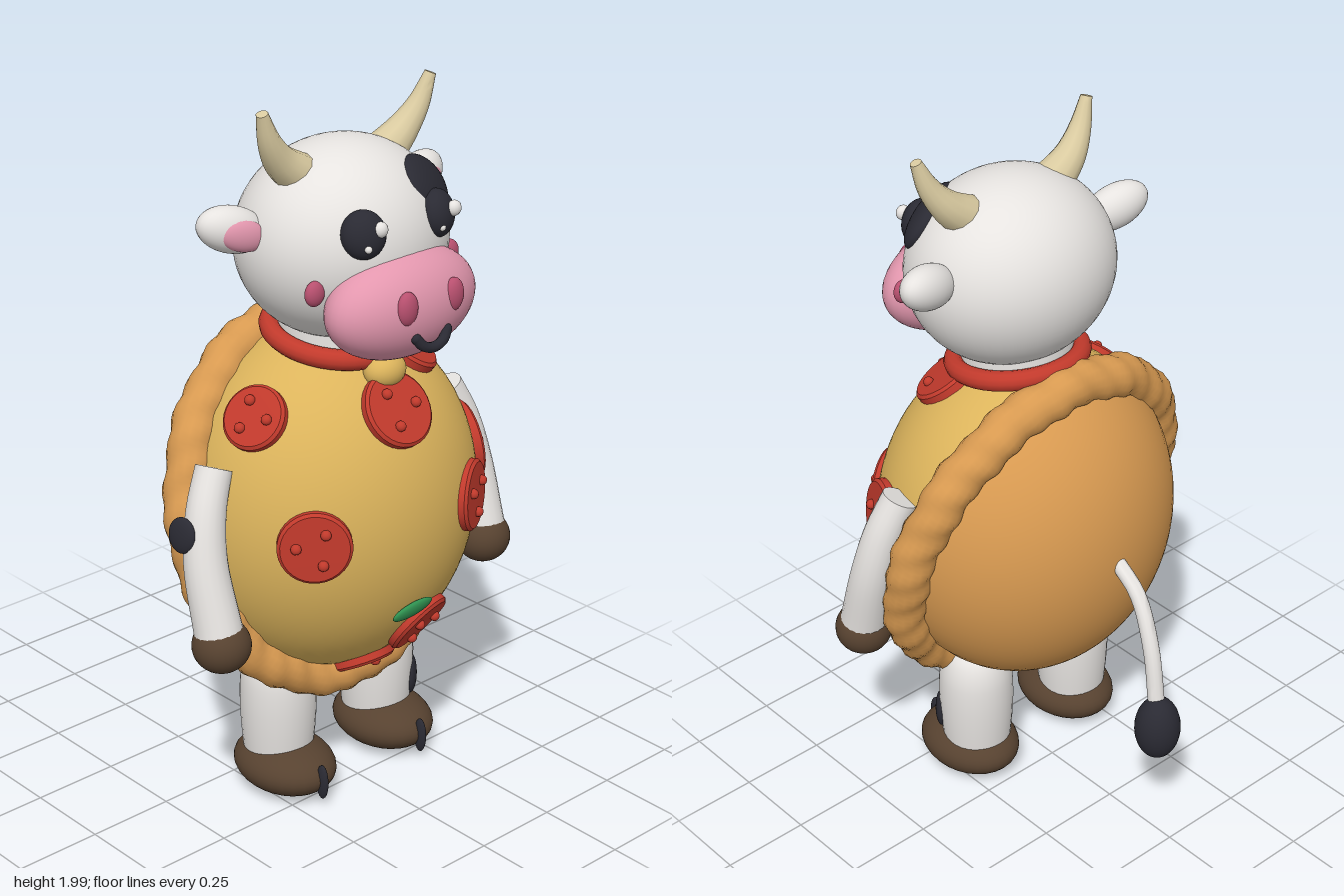
import * as THREE from 'three';
import { mergeVertices, toCreasedNormals } from 'three/addons/utils/BufferGeometryUtils.js';

const V = (x, y, z) => new THREE.Vector3(x, y, z);
const mat = (name, color) => {
  const m = new THREE.MeshStandardMaterial({ color });
  m.name = name;
  return m;
};

export function createModel() {
  const root = new THREE.Group();
  root.name = 'pizzaCow';
  const white = mat('white', 0xe6e3e0), black = mat('black', 0x2a2a33), pink = mat('pink', 0xe397ae),
    rose = mat('rose', 0xb8506f), cheese = mat('cheese', 0xdcb45c), crust = mat('crust', 0xd89a51),
    red = mat('red', 0xc23a2c), green = mat('green', 0x2f9150), brown = mat('brown', 0x574230),
    horn = mat('horn', 0xd9caa0);

  const add = (name, geo, material, parent = root) => {
    const m = new THREE.Mesh(geo, material);
    m.name = name;
    parent.add(m);
    return m;
  };
  // ellipsoid with centre, radii and rotation
  const ball = (name, material, c, r, rot = [0, 0, 0], parent = root, seg = 28) => {
    const m = add(name, new THREE.SphereGeometry(1, seg, Math.round(seg * 0.7)), material, parent);
    m.position.set(...c);
    m.scale.set(...r);
    m.rotation.set(...rot);
    return m;
  };
  // closed tube whose radius runs from r0 to r1
  const taper = (name, material, pts, r0, r1, sides = 20) => {
    const n = 18, curve = new THREE.CatmullRomCurve3(pts.map(p => V(...p)));
    const geo = new THREE.TubeGeometry(curve, n, 1, sides, false);
    const pos = geo.attributes.position, v = V(0, 0, 0);
    for (let i = 0; i <= n; i++) {
      const t = THREE.MathUtils.clamp((i - 1) / (n - 2), 0, 1);
      const from = curve.getPointAt(i / n), to = curve.getPointAt(t);
      const r = i === 0 || i === n ? 0 : r0 + (r1 - r0) * t;
      for (let j = 0; j <= sides; j++) {
        const k = i * (sides + 1) + j;
        v.fromBufferAttribute(pos, k).sub(from).multiplyScalar(r).add(to);
        pos.setXYZ(k, v.x, v.y, v.z);
      }
    }
    return add(name, toCreasedNormals(geo, 0.9), material);
  };

  // body: cheese front and crust back, split along a tilted plane
  const C = V(0, 0.85, 0.11), R = V(0.44, 0.5, 0.39), cut = Math.PI * 0.53;
  const half = (name, material, start, length) => {
    const g = new THREE.SphereGeometry(1, 56, 28, 0, Math.PI * 2, start, length);
    g.rotateX(1.22);
    g.scale(R.x, R.y, R.z);
    add(name, g, material).position.copy(C);
  };
  half('cheeseFront', cheese, 0, cut);
  half('crustBack', crust, cut, Math.PI - cut);

  // lumpy crust rim
  let rim = new THREE.TorusGeometry(0.48, 0.062, 16, 200);
  const rp = rim.attributes.position;
  for (let i = 0; i < rp.count; i++) {
    const x = rp.getX(i), y = rp.getY(i), z = rp.getZ(i);
    const u = Math.atan2(y, x), rho = Math.hypot(x, y) - 0.48, w = Math.atan2(z, rho);
    const k = 1 + 0.06 * Math.sin(34 * u + 2 * w) + 0.05 * Math.sin(13 * u - w);
    rp.setXYZ(i, Math.cos(u) * (0.455 + rho * k), Math.sin(u) * (0.502 + rho * k), z * k);
  }
  rim.deleteAttribute('uv');
  rim.deleteAttribute('normal');
  rim = mergeVertices(rim, 1e-5);
  rim.computeVertexNormals();
  rim.rotateX(-0.277);
  add('crustRim', rim, crust).position.set(0, 0.83, 0.08);

  // group on the body surface, its y axis pointing outwards
  const onBody = (name, x, y) => {
    const dy = y - C.y;
    const dz = R.z * Math.sqrt(Math.max(0, 1 - (x / R.x) ** 2 - (dy / R.y) ** 2));
    const g = new THREE.Group();
    g.name = name;
    g.position.set(x, y, C.z + dz);
    const normal = V(x / R.x ** 2, dy / R.y ** 2, dz / R.z ** 2).normalize();
    g.quaternion.setFromUnitVectors(V(0, 1, 0), normal);
    root.add(g);
    return g;
  };

  // pepperoni slices with small bumps
  [[-0.013, 1.185, 0.105], [-0.32, 1.18, 0.09], [0.16, 1.28, 0.1], [-0.3, 0.875, 0.1],
    [0.235, 0.875, 0.1], [0.41, 0.92, 0.118], [0.08, 0.525, 0.1], [0, 0.385, 0.1]].forEach(([x, y, r], i) => {
    const g = onBody('pepperoni', x, y);
    const profile = [[r, -0.025], [r, 0.006], [r - 0.008, 0.014], [0, 0.016]].map(p => new THREE.Vector2(...p));
    add('slice', toCreasedNormals(new THREE.LatheGeometry(profile, 32), 0.6), red, g);
    for (let j = 0; j < 3; j++) {
      const a = i * 1.3 + j * 2.1;
      ball('bump', red, [Math.cos(a) * r * 0.5, 0.018, Math.sin(a) * r * 0.5], [0.015, 0.014, 0.015], [0, 0, 0], g, 10);
    }
  });
  ball('basilLeaf', green, [0, 0.01, 0], [0.068, 0.012, 0.026], [0, 0.15, 0], onBody('basil', -0.01, 0.625));

  // neck, collar and bell
  add('neck', new THREE.CylinderGeometry(0.15, 0.16, 0.2, 32), white).position.set(0, 1.33, 0.14);
  const collar = add('collar', new THREE.TorusGeometry(0.175, 0.028, 12, 40), red);
  collar.position.set(0, 1.335, 0.14);
  collar.rotation.x = Math.PI / 2 + 0.16;
  ball('bell', cheese, [0, 1.275, 0.335], [0.063, 0.05, 0.05]);

  // head and face
  ball('head', white, [0, 1.605, 0.165], [0.3, 0.268, 0.267], [0, 0, 0], root, 48);
  ball('muzzle', pink, [0, 1.482, 0.39], [0.243, 0.147, 0.127], [0, 0, 0], root, 40);
  const patch = ball('eyePatch', black, [0.155, 1.745, 0.31], [0.115, 0.085, 0.04]);
  patch.quaternion.setFromUnitVectors(V(0, 0, 1), V(0.47, 0.55, 0.68).normalize());
  patch.rotateZ(-0.15);
  const smile = new THREE.CatmullRomCurve3([V(-0.055, 1.425, 0.505), V(-0.035, 1.402, 0.512), V(0, 1.392, 0.515),
    V(0.035, 1.402, 0.512), V(0.055, 1.425, 0.505)]);
  add('mouth', new THREE.TubeGeometry(smile, 20, 0.014, 10), black);
  for (const x of [-0.055, 0.055]) ball('mouthCorner', black, [x, 1.425, 0.505], [0.014, 0.014, 0.014], [0, 0, 0], root, 12);

  for (const s of [1, -1]) {
    ball('nostril', rose, [s * 0.082, 1.51, 0.498], [0.033, 0.046, 0.022]);
    ball('cheekSpot', rose, [s * 0.24, 1.543, 0.325], [0.03, 0.034, 0.02]);
    ball('eye', black, [s * 0.13, 1.69, 0.385], [0.06, 0.064, 0.045], [-0.2, s * 0.45, 0]);
    ball('eyeShine', white, [s * 0.13 + 0.022, 1.708, 0.425], [0.021, 0.021, 0.018], [0, 0, 0], root, 14);
    ball('eyeGlint', white, [s * 0.13 - 0.02, 1.665, 0.426], [0.01, 0.01, 0.01], [0, 0, 0], root, 10);
    ball('ear', white, [s * 0.33, 1.68, 0.11], [0.1, 0.062, 0.055], [0, s * 0.25, s * 0.3]);
    ball('innerEar', pink, [s * 0.325, 1.672, 0.148], [0.07, 0.043, 0.026], [0, s * 0.25, s * 0.3]);
    taper('horn', horn, [[s * 0.145, 1.795, 0.165], [s * 0.215, 1.85, 0.168], [s * 0.26, 1.91, 0.178],
      [s * 0.293, 1.992, 0.188]], 0.06, 0.016, 12);

    // arms and hands
    taper('arm', white, [[s * 0.425, 1.055, 0.14], [s * 0.47, 0.95, 0.16], [s * 0.495, 0.82, 0.185],
      [s * 0.495, 0.63, 0.235]], 0.05, 0.066);
    ball('hand', brown, [s * 0.492, 0.597, 0.242], [0.08, 0.075, 0.08]);

    // legs and hooves
    const leg = [[0.095, 0.09], [0.105, 0.2], [0.108, 0.3], [0.1, 0.38], [0.07, 0.44], [0, 0.47]];
    add('leg', new THREE.LatheGeometry(new THREE.SplineCurve(leg.map(p => new THREE.Vector2(...p))).getPoints(16), 32), white)
      .position.set(s * 0.188, 0, 0.122);
    ball('foot', brown, [s * 0.19, 0.084, 0.152], [0.13, 0.079, 0.162]);
    ball('hoofSplit', black, [s * 0.19, 0.082, 0.308], [0.012, 0.053, 0.022], [0, 0, 0], root, 16);
  }

  // coat spots
  ball('legSpot', black, [0.262, 0.21, 0.192], [0.04, 0.06, 0.018], [0, 0.8, 0]);
  ball('armSpot', black, [-0.542, 0.9, 0.148], [0.016, 0.05, 0.045], [0.2, 0.1, -0.15]);

  // tail
  taper('tail', white, [[0, 0.855, -0.26], [0.004, 0.79, -0.35], [0.018, 0.66, -0.42], [0.03, 0.47, -0.463]], 0.022, 0.024, 14);
  ball('tailTuft', black, [0.033, 0.415, -0.47], [0.065, 0.098, 0.064]);

  return root;
}
